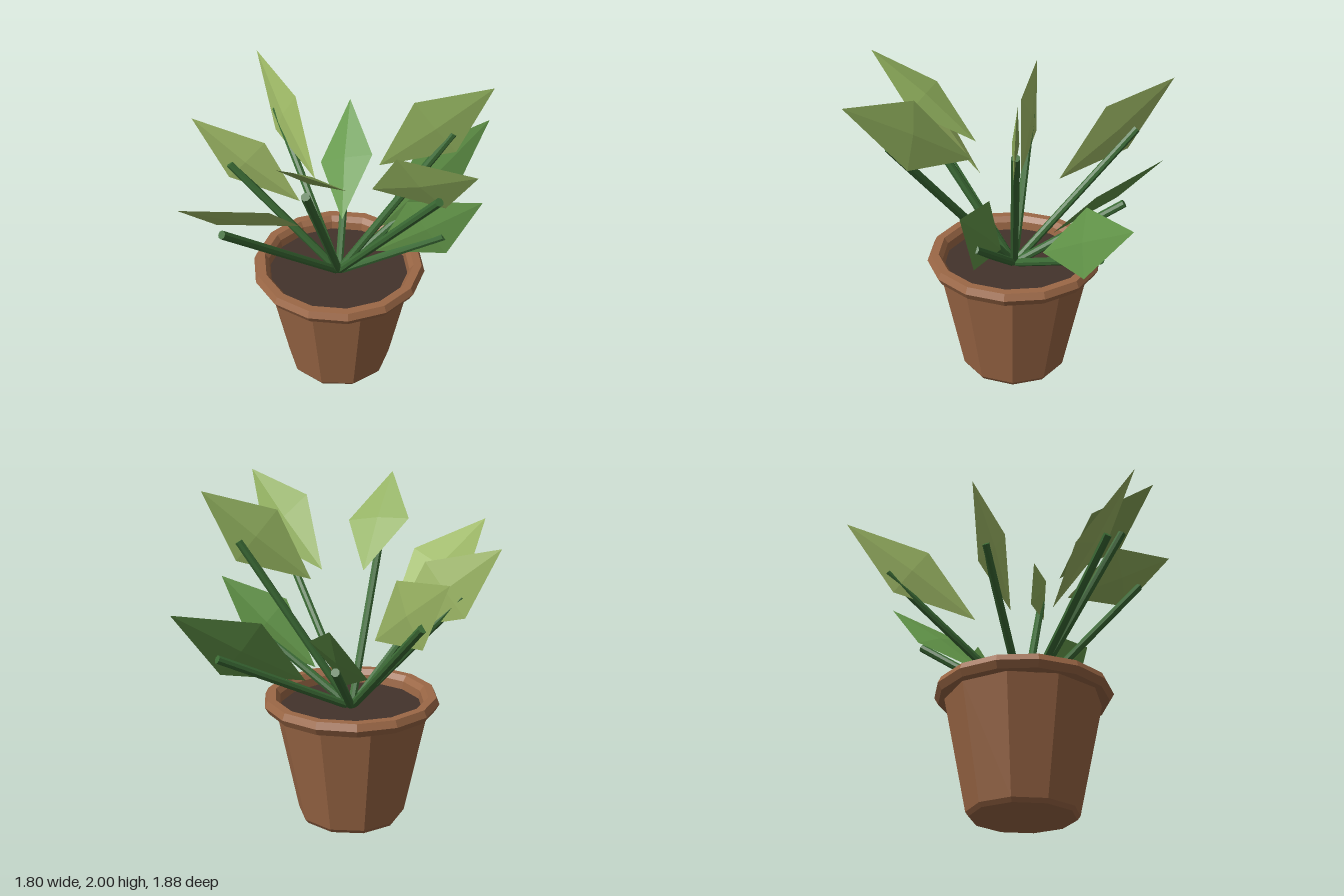
import * as THREE from 'three';

const CX = -0.05, CZ = -0.055, SOIL_Y = 0.7;

const mat = (color) => new THREE.MeshStandardMaterial({ color, flatShading: true });

function addMesh(parent, name, geometry, material) {
  const mesh = new THREE.Mesh(geometry, material);
  mesh.name = name;
  parent.add(mesh);
  return mesh;
}

const lathe = (points, sides) =>
  new THREE.LatheGeometry(points.map(([r, y]) => new THREE.Vector2(r, y)), sides);

// Straight rod between two points
function rod(a, b, radius) {
  const dir = b.clone().sub(a);
  const g = new THREE.CylinderGeometry(radius, radius, dir.length(), 8);
  g.applyQuaternion(new THREE.Quaternion().setFromUnitVectors(
    new THREE.Vector3(0, 1, 0), dir.clone().normalize()));
  const mid = a.clone().add(b).multiplyScalar(0.5);
  return g.translate(mid.x, mid.y, mid.z);
}

// Thin diamond blade from base to tip; side gives the half-width direction
function blade(base, tip, side) {
  const half = tip.clone().sub(base).multiplyScalar(0.5);
  const axis = half.clone().normalize();
  const across = side.clone().addScaledVector(axis, -side.dot(axis)).setLength(0.2);
  const normal = across.clone().cross(axis).setLength(0.02);
  const mid = base.clone().add(half);
  return new THREE.OctahedronGeometry(1, 0).applyMatrix4(
    new THREE.Matrix4().makeBasis(across, half, normal).setPosition(mid));
}

export function createModel() {
  const model = new THREE.Group();
  model.name = 'pottedPlant';

  const clay = mat(0x9c6846);
  const soilMat = mat(0x43332b);
  const stemMat = mat(0x3b6b35);

  // Pot
  const pot = new THREE.Group();
  pot.name = 'pot';
  pot.position.set(CX, 0, CZ);
  model.add(pot);
  addMesh(pot, 'potBody',
    lathe([[0, 0], [0.31, 0], [0.328, 0.025], [0.472, 0.72]], 10), clay);
  addMesh(pot, 'potRim', lathe([
    [0.43, 0.69], [0.45, 0.705], [0.51, 0.705], [0.534, 0.747],
    [0.515, 0.788], [0.465, 0.788], [0.44, 0.755], [0.43, 0.69],
  ], 14), clay);
  const soil = addMesh(pot, 'soil', new THREE.CylinderGeometry(0.44, 0.44, 0.02, 14), soilMat);
  soil.position.y = SOIL_Y - 0.005;

  // Three leaf heights: tip height and colour
  const tiers = {
    low: { y: 1.43, material: mat(0x64984a) },
    middle: { y: 1.714, material: mat(0xa3bf69) },
    tall: { y: 2.0, material: mat(0x8fae5c) },
  };
  // Two reaches: horizontal distance of blade base, stem end and blade tip
  const wide = [0.31, 0.86, 1.122];
  const narrow = [0.237, 0.655, 0.865];

  // Tier, reach, angle in degrees (from +x towards +z), side direction
  const leaves = [
    ['middle', wide, 222.3, [0.09, 0.16, 0.05]],
    ['middle', narrow, 170.3, [0.13, 0.155, 0.01]],
    ['middle', wide, 117.6, [0.17, 0.1, 0.025]],
    ['tall', narrow, 85.4, [0.195, -0.02, 0]],
    ['tall', wide, 32.5, [0.13, -0.14, -0.03]],
    ['low', narrow, 0.3, [0.13, -0.165, 0]],
    ['tall', narrow, -19.4, [0.12, -0.155, -0.03]],
    ['low', wide, -52, [0.12, -0.16, -0.03]],
    ['low', narrow, 255.2, [0.17, 0.085, 0.01]],
  ];
  const root = new THREE.Vector3(CX, SOIL_Y, CZ);
  leaves.forEach(([tierName, reach, degrees, side], i) => {
    const tier = tiers[tierName];
    const a = THREE.MathUtils.degToRad(degrees);
    const at = (r, y) => new THREE.Vector3(CX + r * Math.cos(a), y, CZ + r * Math.sin(a));
    const leaf = new THREE.Group();
    leaf.name = `leaf${i + 1}`;
    model.add(leaf);
    addMesh(leaf, 'stem', rod(root, at(reach[1], tier.y - 0.29), 0.025), stemMat);
    addMesh(leaf, 'blade',
      blade(at(reach[0], tier.y - 0.51), at(reach[2], tier.y), new THREE.Vector3(...side)),
      tier.material);
  });

  return model;
}
